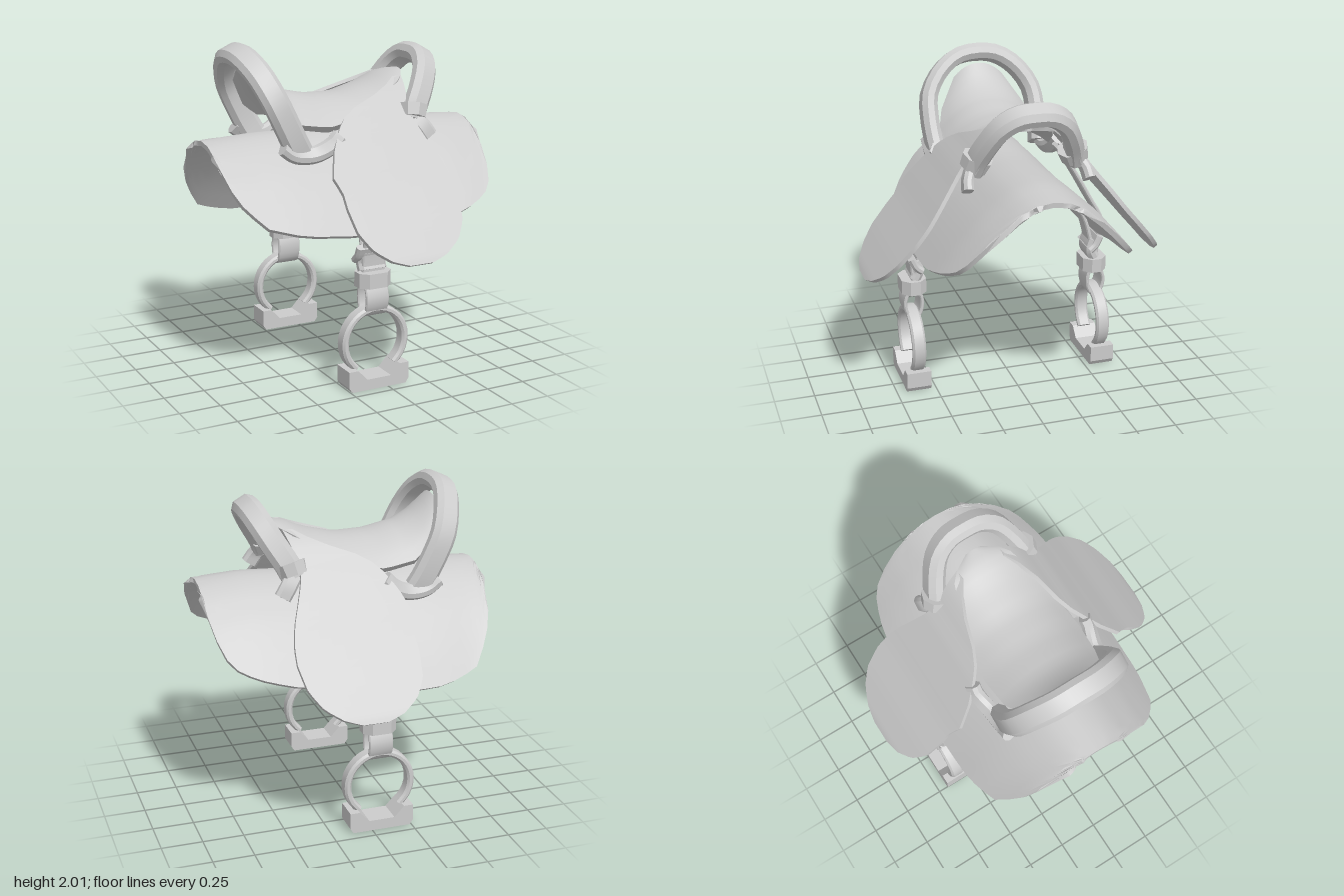
import * as THREE from 'three';
import { toCreasedNormals } from 'three/addons/utils/BufferGeometryUtils.js';

const V = (x, y, z) => new THREE.Vector3(x, y, z);

// Piecewise linear table lookup: rows are [key, value, value...]
function table(rows) {
  return (t, col = 1) => {
    if (t <= rows[0][0]) return rows[0][col];
    for (let i = 1; i < rows.length; i++) {
      const a = rows[i - 1], b = rows[i];
      if (t <= b[0]) return a[col] + (b[col] - a[col]) * (t - a[0]) / (b[0] - a[0]);
    }
    return rows[rows.length - 1][col];
  };
}

function build(pos, index) {
  const g = new THREE.BufferGeometry();
  g.setAttribute('position', new THREE.Float32BufferAttribute(pos.flatMap(p => [p.x, p.y, p.z]), 3));
  g.setIndex(index);
  g.computeVertexNormals();
  return g;
}

// Thick curved sheet from point(u, v), with a closed rim
function sheet(point, nu, nv, thick) {
  const top = [], faces = [], id = (i, j) => i * (nv + 1) + j;
  for (let i = 0; i <= nu; i++) for (let j = 0; j <= nv; j++) top.push(point(i / nu, j / nv));
  for (let i = 0; i < nu; i++) for (let j = 0; j < nv; j++) {
    const a = id(i, j), b = id(i, j + 1), c = id(i + 1, j), d = id(i + 1, j + 1);
    faces.push(a, b, c, c, b, d);
  }
  const n = build(top, faces).attributes.normal, count = top.length;
  const bottom = top.map((p, k) => p.clone().addScaledVector(V(n.getX(k), n.getY(k), n.getZ(k)), -thick));
  const index = [...faces];
  for (let k = 0; k < faces.length; k += 3) index.push(faces[k] + count, faces[k + 2] + count, faces[k + 1] + count);
  const loop = [];
  for (let i = 0; i < nu; i++) loop.push(id(i, 0));
  for (let j = 0; j < nv; j++) loop.push(id(nu, j));
  for (let i = nu; i > 0; i--) loop.push(id(i, nv));
  for (let j = nv; j > 0; j--) loop.push(id(0, j));
  loop.forEach((a, k) => {
    const b = loop[(k + 1) % loop.length];
    index.push(a, b, b + count, a, b + count, a + count);
  });
  return toCreasedNormals(build([...top, ...bottom], index), 0.5);
}

// Bevelled bar swept along points; width runs along axis, depth across it
function band(points, width, depth, axis, steps = 16) {
  const curve = new THREE.CatmullRomCurve3(points.map(p => V(...p)));
  const pos = [], index = [], N = 8, bevel = Math.min(width, depth) * 0.3;
  const w = width / 2, d = depth / 2;
  const section = [[w, d - bevel], [w - bevel, d], [bevel - w, d], [-w, d - bevel],
    [-w, bevel - d], [bevel - w, -d], [w - bevel, -d], [w, bevel - d]];
  for (let i = 0; i <= steps; i++) {
    const p = curve.getPoint(i / steps), t = curve.getTangent(i / steps);
    const r = t.clone().cross(axis).normalize(), a = r.clone().cross(t).normalize();
    section.forEach(([x, y]) => pos.push(p.clone().addScaledVector(a, x).addScaledVector(r, y)));
  }
  for (let i = 0; i < steps; i++) for (let k = 0; k < N; k++) {
    const a = i * N + k, b = i * N + (k + 1) % N;
    index.push(a, b, b + N, a, b + N, a + N);
  }
  const e = steps * N;
  for (let k = 1; k < N - 1; k++) index.push(0, k + 1, k, e, e + k, e + k + 1);
  return toCreasedNormals(build(pos, index), 0.6);
}

const mirrorArch = half => [...half.slice(1).reverse().map(([x, y, z]) => [x, y, -z]), ...half];

export function createModel() {
  const model = new THREE.Group();
  const leather = new THREE.MeshStandardMaterial({ color: 0xcccccc });
  leather.name = 'pale grey leather';
  const add = (name, geometry, parent = model) => {
    const mesh = new THREE.Mesh(geometry, leather);
    mesh.name = name;
    parent.add(mesh);
    return mesh;
  };

  // Broad saddle skirt arched over the back
  const reach = table([[-0.88, 0.2], [-0.86, 0.36], [-0.8, 0.47], [-0.7, 0.55], [-0.5, 0.6], [-0.2, 0.62],
    [0.4, 0.62], [0.6, 0.59], [0.75, 0.54], [0.83, 0.47], [0.87, 0.34], [0.88, 0.2]]);
  const arch = table([[0, 1.465], [0.1, 1.45], [0.19, 1.405], [0.35, 1.27], [0.5, 1.1], [0.62, 0.94], [0.68, 0.85]]);
  const ridge = table([[-0.88, -0.02], [-0.5, 0], [0, -0.01], [0.6, 0.02], [0.88, 0]]);
  add('skirt', sheet((u, v) => {
    const x = -0.88 * Math.cos(u * Math.PI), s = 2 * v - 1;
    const far = s < 0 ? Math.max(0, Math.min(1, 0.4 - x * 1.5)) * Math.min(1, (x + 0.88) * 5) : 0;
    const z = s * (reach(x) + 0.03 * far);
    return V(x, arch(Math.abs(z)) + ridge(x) - 0.06 * far * s * s, z);
  }, 24, 20, 0.03));

  // Dished seat: x, half width, centre height, edge height
  const seat = table([[-0.6, 0.16, 1.88, 1.8], [-0.5, 0.27, 1.78, 1.63], [-0.4, 0.31, 1.72, 1.55],
    [-0.2, 0.325, 1.675, 1.52], [0, 0.3, 1.67, 1.55], [0.2, 0.24, 1.72, 1.66],
    [0.33, 0.19, 1.775, 1.74], [0.4, 0.12, 1.79, 1.77], [0.43, 0.05, 1.79, 1.78]]);
  add('seat', sheet((u, v) => {
    const x = -0.6 + 1.03 * u, s = 2 * v - 1;
    return V(x, seat(x, 3) + (seat(x, 2) - seat(x, 3)) * (1 - Math.abs(s) ** 2.2), s * seat(x, 1));
  }, 20, 12, 0.05));

  // Tall rear arch and smaller front arch
  add('cantle', band(mirrorArch([[-0.65, 1.94, 0], [-0.645, 1.92, 0.13], [-0.61, 1.84, 0.25], [-0.56, 1.71, 0.335],
    [-0.5, 1.58, 0.35], [-0.44, 1.46, 0.345], [-0.4, 1.39, 0.335]]), 0.155, 0.1, V(0.91, 0.41, 0), 28));
  add('pommel', band(mirrorArch([[0.55, 1.87, 0], [0.545, 1.86, 0.1], [0.515, 1.8, 0.19], [0.46, 1.7, 0.25],
    [0.4, 1.6, 0.29], [0.36, 1.52, 0.31]]), 0.15, 0.11, V(0.87, -0.5, 0), 24));

  // Side flap outline by height: drop, left edge, right edge, height, reach
  const flap = table([[0, 0.32, 0.38, 1.76, 0.14], [0.06, 0.2, 0.36, 1.7, 0.23], [0.13, -0.08, 0.33, 1.6, 0.31],
    [0.2, -0.17, 0.34, 1.52, 0.385], [0.3, -0.24, 0.38, 1.42, 0.46], [0.38, -0.28, 0.42, 1.33, 0.53],
    [0.43, -0.305, 0.44, 1.27, 0.575], [0.48, -0.27, 0.455, 1.21, 0.62], [0.58, -0.275, 0.46, 1.12, 0.695],
    [0.7, -0.26, 0.43, 1.0, 0.795], [0.82, -0.2, 0.36, 0.91, 0.865], [0.93, -0.1, 0.25, 0.845, 0.915],
    [1, 0.0, 0.15, 0.815, 0.932]]);

  // Stirrup tread with raised corners
  const tread = new THREE.Shape([[-0.24, 0], [0.12, 0], [0.14, 0.03], [0.14, 0.13], [0.08, 0.13], [0.02, 0.065],
    [-0.14, 0.065], [-0.2, 0.13], [-0.26, 0.13], [-0.26, 0.03]].map(p => new THREE.Vector2(...p)));
  const ring = Array.from({ length: 15 }, (_, i) => {
    const a = (-50 + 280 * i / 14) * Math.PI / 180;
    return [-0.06 + 0.2 * Math.cos(a), 0.28 + 0.2 * Math.sin(a)];
  });

  for (const s of [1, -1]) {
    const side = new THREE.Group();
    side.name = s > 0 ? 'left side' : 'right side';
    model.add(side);
    const at = pts => pts.map(([x, y, z]) => [x, y, z * s]);
    const strap = (name, pts, width, thick) =>
      add(name, band(pts.map(([z, y]) => [-0.06, y, z * s]), width, thick, V(1, 0, 0), 18), side);

    add('sideFlap', sheet((u, v) => {
      const k = s > 0 ? u : 1 - u;
      return V(flap(v, 1) + (flap(v, 2) - flap(v, 1)) * k, flap(v, 3), s * flap(v, 4));
    }, 10, 26, 0.025), side);

    // Arch feet and their fastenings
    add('cantleFoot', band(at([[-0.52, 1.44, 0.36], [-0.44, 1.385, 0.36], [-0.32, 1.38, 0.37], [-0.22, 1.43, 0.39],
      [-0.17, 1.48, 0.39]]), 0.07, 0.1, V(0, 0.6, 0.8 * s)), side);
    const collar = add('pommelCollar', toCreasedNormals(new THREE.CylinderGeometry(0.095, 0.085, 0.075, 8), 0.6), side);
    collar.position.set(0.37, 1.565, 0.3 * s);
    collar.rotation.set(0.35 * -s, 0, -0.25);
    add('pommelFoot', band(at([[0.37, 1.53, 0.33], [0.41, 1.48, 0.36], [0.45, 1.42, 0.37]]), 0.1, 0.06,
      V(1, 0.4, 0), 5), side);

    // Stirrup leathers on both faces of the skirt, then a loop through the iron
    strap('outerStirrupLeather', [[0.6, 0.68], [0.61, 0.84], [0.635, 0.95], [0.55, 1.12], [0.46, 1.28], [0.35, 1.46]], 0.15, 0.025);
    strap('innerStirrupLeather', [[0.59, 0.68], [0.56, 0.85], [0.52, 0.98], [0.44, 1.11], [0.38, 1.19]], 0.13, 0.025);
    strap('stirrupLoop', [[0.59, 0.67], [0.55, 0.58], [0.56, 0.48], [0.6, 0.44], [0.64, 0.48], [0.655, 0.56], [0.61, 0.67]], 0.15, 0.022);
    strap('leatherFold', [[0.55, 0.77], [0.585, 0.8], [0.615, 0.86]], 0.23, 0.045);
    strap('upperKeeper', [[0.59, 0.71], [0.57, 0.76], [0.59, 0.83]], 0.18, 0.07);
    strap('strapKeeper', [[0.595, 0.615], [0.595, 0.705]], 0.21, 0.155);

    // Stirrup iron
    add('stirrupRing', band(ring.map(([x, y]) => [x, y, 0.607 * s]), 0.085, 0.042, V(0, 0, 1), 28), side);
    const base = add('stirrupTread', new THREE.ExtrudeGeometry(tread, { depth: 0.155, bevelEnabled: false }), side);
    base.position.z = 0.61 * s - 0.0775;
  }
  return model;
}
